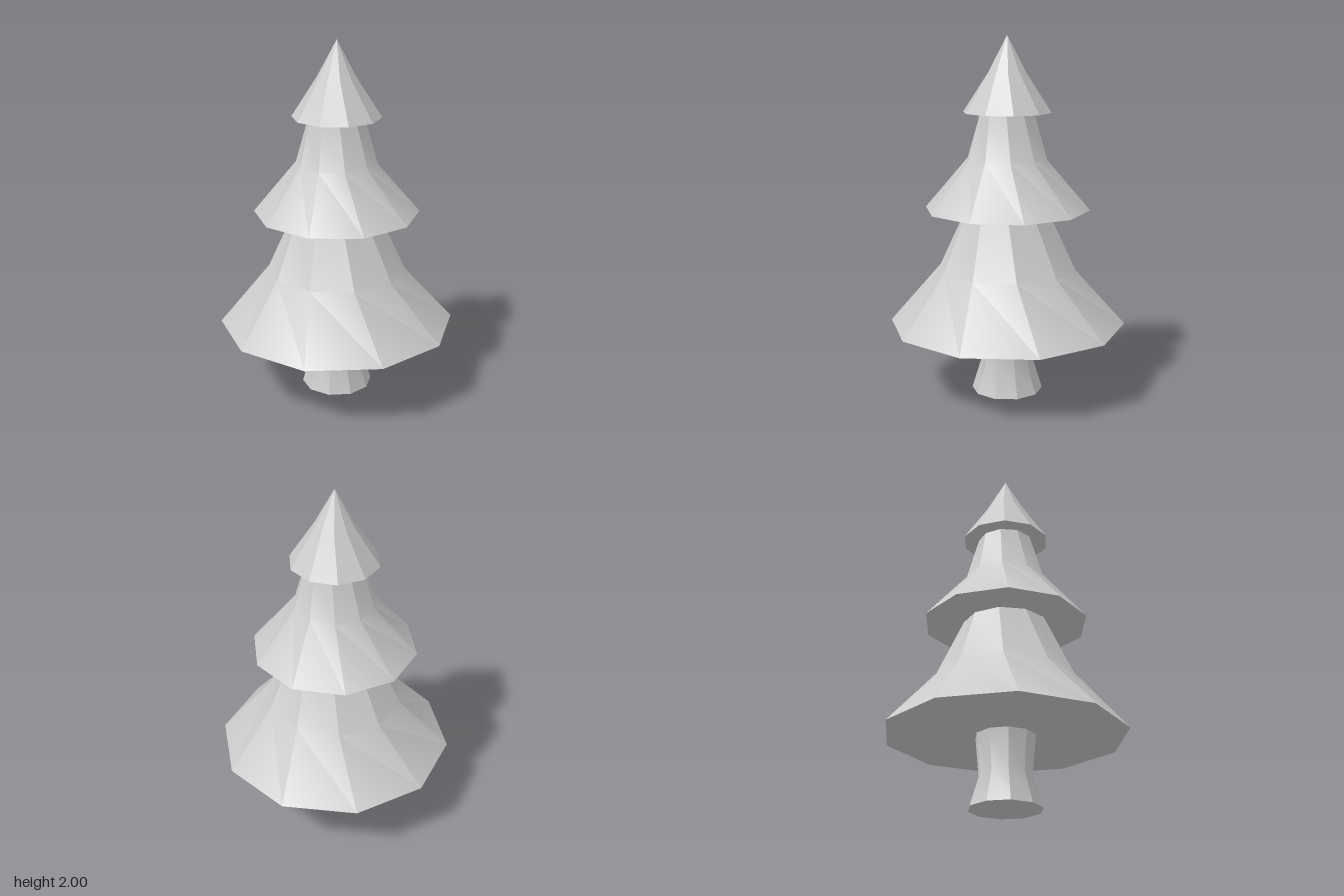
import * as THREE from 'three';
import { toCreasedNormals } from 'three/addons/utils/BufferGeometryUtils.js';

const SIDES = 10;
const STEP = (Math.PI * 2) / SIDES;

// Skins a stack of ten-sided rings, each [radius, height, turn in degrees]
function ringStack(rings) {
  const point = ([r, y, turn], i) => {
    const a = THREE.MathUtils.degToRad(turn) + i * STEP;
    return [r * Math.sin(a), y, r * Math.cos(a)];
  };
  const corners = [];
  for (let k = 0; k < rings.length - 1; k++) {
    const low = rings[k], high = rings[k + 1];
    for (let i = 0; i < SIDES; i++) {
      if (low[0] > 0) corners.push(...point(low, i), ...point(low, i + 1), ...point(high, i));
      if (high[0] > 0) corners.push(...point(low, i + 1), ...point(high, i + 1), ...point(high, i));
    }
  }
  const geometry = new THREE.BufferGeometry();
  geometry.setAttribute('position', new THREE.Float32BufferAttribute(corners, 3));
  return toCreasedNormals(geometry, Math.PI / 6);
}

export function createModel() {
  const tree = new THREE.Group();
  tree.name = 'pineTree';
  const material = new THREE.MeshStandardMaterial({ color: 0xcccccc, side: THREE.DoubleSide });

  // Each part starts at the centre of its flat underside
  const parts = {
    trunk: [[0, 0, 18], [0.2, 0, 18], [0.145, 0.18, 17], [0.165, 0.395, 16]],
    lowerBranches: [[0, 0.395, 16], [0.663, 0.395, 16], [0.385, 0.715, 9], [0.235, 1.05, 2]],
    middleBranches: [[0, 1.05, 12.5], [0.46, 1.05, 12.5], [0.225, 1.33, 6], [0.155, 1.585, 0]],
    topBranches: [[0, 1.585, 9.5], [0.245, 1.585, 9.5], [0.107, 1.8, 4], [0, 2, 0]],
  };
  for (const [name, rings] of Object.entries(parts)) {
    const mesh = new THREE.Mesh(ringStack(rings), material);
    mesh.name = name;
    tree.add(mesh);
  }
  return tree;
}
